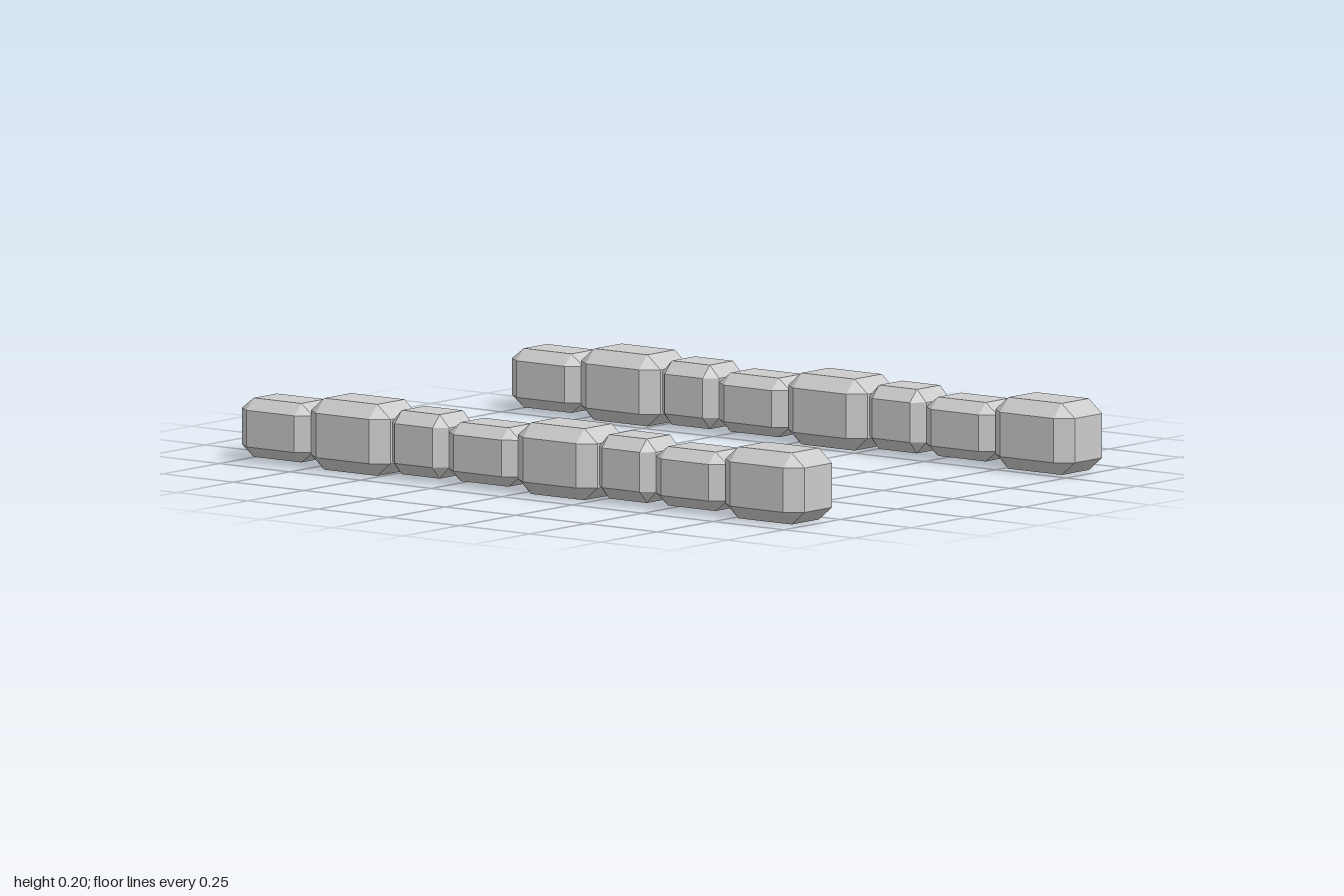
import * as THREE from 'three';
import { ConvexGeometry } from 'three/addons/geometries/ConvexGeometry.js';

const material = new THREE.MeshStandardMaterial({ color: 0xcccccc, flatShading: true });

// Block with every edge and corner chamfered: each face is inset from the full size
function chamferedBlock(width, height, length) {
  const half = [width / 2, height / 2, length / 2];
  const inset = [width * 0.31, height * 0.31, length * 0.335];
  const points = [];
  for (let axis = 0; axis < 3; axis++) {
    for (const sx of [-1, 1]) for (const sy of [-1, 1]) for (const sz of [-1, 1]) {
      const p = [sx * inset[0], sy * inset[1], sz * inset[2]];
      p[axis] = [sx, sy, sz][axis] * half[axis];
      points.push(new THREE.Vector3(...p));
    }
  }
  return new ConvexGeometry(points);
}

// Three stone sizes: width, bottom, top, length
const stones = {
  large: { width: 0.195, bottom: 0, top: 0.2, length: 0.281 },
  low: { width: 0.166, bottom: 0.011, top: 0.176, length: 0.252 },
  short: { width: 0.166, bottom: 0.011, top: 0.19, length: 0.2005 },
};
const order = ['large', 'low', 'short', 'large', 'low', 'short', 'large', 'low'];

// One row of stones laid end to end from front to back
function stoneRow(name, x) {
  const row = new THREE.Group();
  row.name = name;
  row.position.x = x;
  let z = 1;
  order.forEach((kind, i) => {
    const { width, bottom, top, length } = stones[kind];
    const stone = new THREE.Mesh(chamferedBlock(width, top - bottom, length), material);
    stone.name = `${kind}Stone${i + 1}`;
    stone.position.set(0, (bottom + top) / 2, z - length / 2);
    row.add(stone);
    z -= length;
  });
  return row;
}

export function createModel() {
  const model = new THREE.Group();
  model.name = 'stoneBorders';
  model.add(stoneRow('leftStoneRow', 0.598), stoneRow('rightStoneRow', -0.598));
  return model;
}
